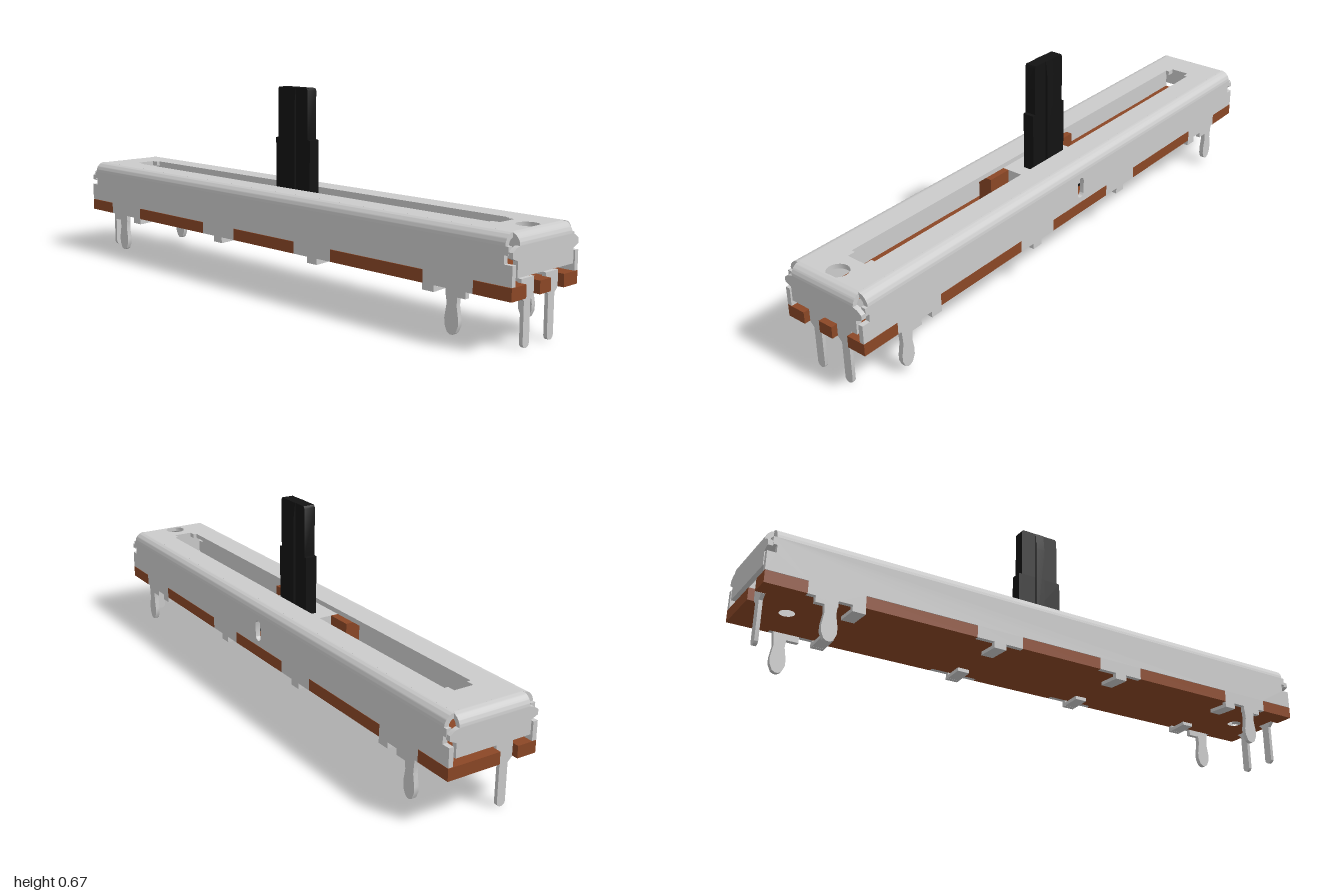
import * as THREE from 'three';
import { toCreasedNormals } from 'three/addons/utils/BufferGeometryUtils.js';

const metal = new THREE.MeshStandardMaterial({ color: 0xcccccc });
const brown = new THREE.MeshStandardMaterial({ color: 0x8b4726 });
const black = new THREE.MeshStandardMaterial({ color: 0x131313 });
const T = 0.016; // sheet thickness

const poly = (pts) => new THREE.Shape(pts.map(([x, y]) => new THREE.Vector2(x, y)));
const mirrorX = (pts) => [...pts, ...pts.map(([x, y]) => [-x, y]).reverse()];
const circle = (x, y, r) => new THREE.Path().absarc(x, y, r, 0, Math.PI * 2, true);

function extrude(shape, depth) {
  const g = new THREE.ExtrudeGeometry(shape, { depth, bevelEnabled: false, curveSegments: 10 });
  return toCreasedNormals(g, 0.6);
}
// Plan outline (x, -z) raised from y
const slab = (shape, y, h) => extrude(shape, h).rotateX(-Math.PI / 2).translate(0, y, 0);
// Section (z, y) pushed along +x from x
const alongX = (shape, x, len) => extrude(shape, len).rotateY(Math.PI / 2).translate(x, 0, 0);

function add(parent, name, geometry, material) {
  const mesh = new THREE.Mesh(geometry, material);
  mesh.name = name;
  parent.add(mesh);
  return mesh;
}
function box(parent, name, material, x0, x1, y0, y1, z0, z1) {
  const g = new THREE.BoxGeometry(x1 - x0, y1 - y0, z1 - z0);
  g.translate((x0 + x1) / 2, (y0 + y1) / 2, (z0 + z1) / 2);
  return add(parent, name, g, material);
}

// Quarter ring section used for the bent sheet edges
function bend(cx, cy, r) {
  const s = new THREE.Shape();
  s.absarc(cx, cy, r, 0, Math.PI / 2, false);
  s.absarc(cx, cy, r - T, Math.PI / 2, 0, true);
  return s;
}

function snapLeg(c) {
  const side = [[0.023, 0.16], [0.02, 0.13], [0.018, 0.105], [0.025, 0.065], [0.024, 0.045], [0.015, 0.025], [0.005, 0.019]];
  return poly(mirrorX(side).map(([x, y]) => [x + c, y]));
}

function sideWall(legX, slotted) {
  const g = new THREE.Group();
  const half = [
    [0.985, 0.3], [0.985, 0.275], [0.972, 0.275], [0.972, 0.25], [1, 0.25], [1, 0.19],
    [0.87, 0.19], [0.87, 0.15], [0.845, 0.15], [0.845, 0.13], [0.775, 0.13], [0.775, 0.15],
    [0.69, 0.15], [0.69, 0.19], [0.315, 0.19], [0.315, 0.15], [0.15, 0.15], [0.15, 0.19],
  ];
  const shape = poly(mirrorX(half));
  if (slotted) {
    const hole = new THREE.Path();
    hole.absarc(0, 0.265, 0.016, 0, Math.PI, false);
    hole.absarc(0, 0.225, 0.016, Math.PI, Math.PI * 2, false);
    shape.holes.push(hole);
  }
  add(g, 'sideWall', extrude(shape, T).translate(0, 0, 0.157 - T), metal);
  // Long rounded edge (extruded toward +z, then laid along x)
  const edge = extrude(bend(0.122, 0.3, 0.035), 1.95).rotateY(-Math.PI / 2).translate(0.975, 0, 0);
  add(g, 'roundedEdge', edge, metal);
  for (const s of [-1, 1]) {
    add(g, 'snapLeg', extrude(snapLeg(s * legX), T).translate(0, 0, 0.157 - T), metal);
    // Clinch tabs folded under the board
    for (const x of [0.233, 0.71]) {
      box(g, 'clinchTabRoot', metal, s * x - 0.021, s * x + 0.021, 0.13, 0.152, 0.157 - T, 0.157);
      const tab = box(g, 'clinchTab', metal, s * x - 0.021, s * x + 0.021, -0.006, 0.006, -0.075, 0);
      tab.position.set(0, 0.136, 0.15);
      tab.rotation.x = 0.05;
    }
  }
  return g;
}

function endWall() {
  const g = new THREE.Group();
  const half = [[0.125, 0.3], [0.14, 0.296], [0.156, 0.285], [0.156, 0.269], [0.133, 0.259], [0.133, 0.213]];
  add(g, 'endWall', alongX(poly(mirrorX(half)), 1 - T, T), metal);
  add(g, 'endRoundedEdge', extrude(bend(0.965, 0.3, 0.035), 0.25).translate(0, 0, -0.125), metal);
  return g;
}

function topPlate() {
  const shape = poly([[-0.966, -0.123], [0.966, -0.123], [0.966, 0.123], [-0.966, 0.123]]);
  const slot = [[0.865, 0.034], [0.838, 0.034], [0.838, 0.047]];
  const right = [...slot.map(([x, z]) => [x, -z]).reverse(), ...slot];
  shape.holes.push(poly([...right, ...right.map(([x, z]) => [-x, -z])]));
  for (const s of [-1, 1]) shape.holes.push(circle(s * 0.935, 0, 0.035));
  return slab(shape, 0.335 - T, T);
}

// Terminals sit at these end / z positions (+x has two, -x has one)
const terminals = [[1, 0.058], [1, -0.058], [-1, 0.058]];

function board() {
  const W = 0.157, D = W - T;
  const edge = [[1, W]];
  for (const [a, b] of [[0.87, 0.69], [0.315, 0.15], [-0.15, -0.315], [-0.69, -0.87]])
    edge.push([a, W], [a, D], [b, D], [b, W]);
  edge.push([-1, W]);
  // One end's outline, in order of rising z
  const end = (s) => {
    const out = [];
    for (const [, z] of terminals.filter((t) => t[0] === s).sort((a, b) => a[1] - b[1]))
      out.push([s, z - 0.032], [s * 0.966, z - 0.032], [s * 0.966, z + 0.032], [s, z + 0.032]);
    return out;
  };
  const pts = [
    ...edge, ...end(-1).reverse(),
    ...edge.map(([x, z]) => [x, -z]).reverse(), ...end(1),
  ];
  const shape = poly(pts.map(([x, z]) => [x, -z]));
  for (const s of [-1, 1]) shape.holes.push(circle(s * 0.87, 0, 0.024));
  return slab(shape, 0.15, 0.039);
}

function terminal(s, z) {
  const g = new THREE.Group();
  g.name = 'terminal';
  const shape = new THREE.Shape();
  shape.moveTo(0.03, 0.2);
  shape.lineTo(0.03, 0.15);
  shape.lineTo(0.015, 0.135);
  shape.lineTo(0.015, 0.015);
  shape.absarc(0, 0.015, 0.015, 0, -Math.PI, true);
  shape.lineTo(-0.015, 0.135);
  shape.lineTo(-0.03, 0.15);
  shape.lineTo(-0.03, 0.2);
  add(g, 'terminalPin', alongX(shape, 0.969, 0.012), metal);
  box(g, 'terminalFoot', metal, 0.935, 0.975, 0.189, 0.2, -0.022, 0.022);
  g.position.z = z;
  if (s < 0) g.rotation.y = Math.PI;
  return g;
}

function slider() {
  const g = new THREE.Group();
  g.name = 'slider';
  box(g, 'carriageBase', black, -0.22, 0.22, 0.203, 0.213, -0.1, 0.1);
  box(g, 'carriagePlate', metal, -0.13, 0.13, 0.213, 0.3, -0.1, 0.1);
  for (const s of [-1, 1]) for (const z of [-0.074, 0.074])
    box(g, 'contactBlock', brown, s * 0.175 - 0.045, s * 0.175 + 0.045, 0.213, 0.3, z - 0.026, z + 0.026);
  // Lever blade with a wider lower part
  const blade = [[0.066, 0.67], [0.071, 0.662], [0.071, 0.5], [0.082, 0.498], [0.082, 0.29]];
  add(g, 'leverBlade', extrude(poly(mirrorX(blade)), 0.04).translate(0, 0, -0.02), black);
  // Centre rib with a tapered top
  const rib = [[0.021, 0.67], [0.028, 0.61], [0.028, 0.29]];
  add(g, 'leverRib', alongX(poly(mirrorX(rib)), -0.016, 0.032), black);
  return g;
}

export function createModel() {
  const model = new THREE.Group();
  model.name = 'slidePotentiometer';

  const shell = new THREE.Group();
  shell.name = 'metalShell';
  add(shell, 'topPlate', topPlate(), metal);
  const front = sideWall(0.797, false);
  front.name = 'frontSide';
  const back = sideWall(0.835, true);
  back.name = 'backSide';
  back.rotation.y = Math.PI;
  const left = endWall();
  left.name = 'leftEnd';
  const right = endWall();
  right.name = 'rightEnd';
  right.rotation.y = Math.PI;
  shell.add(front, back, left, right);
  model.add(shell);

  add(model, 'circuitBoard', board(), brown);
  for (const [s, z] of terminals) model.add(terminal(s, z));
  model.add(slider());
  return model;
}
